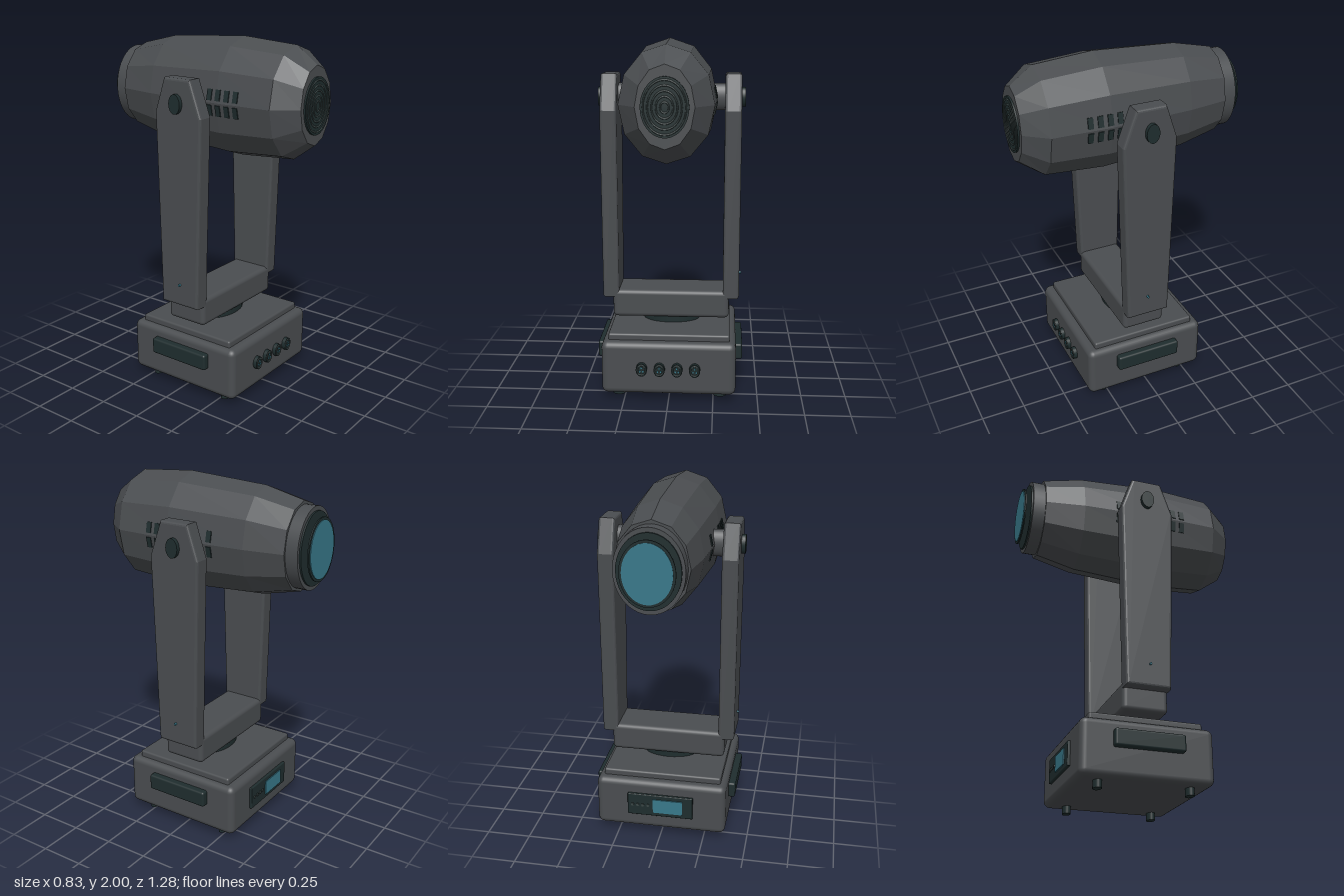
import * as THREE from 'three';
import { RoundedBoxGeometry } from 'three/addons/geometries/RoundedBoxGeometry.js';

const mat = (name, color) => {
  const m = new THREE.MeshStandardMaterial({ color });
  m.name = name;
  return m;
};

export function createModel() {
  const body = mat('charcoal body', 0x4a4d50);
  const dark = mat('dark trim', 0x1f2d2e);
  const grilleGrey = mat('grille grey', 0x3a4646);
  const glass = mat('teal glass', 0x38788a);

  const root = new THREE.Group();
  root.name = 'movingHeadLight';
  const group = (name) => {
    const g = new THREE.Group();
    g.name = name;
    root.add(g);
    return g;
  };
  const add = (parent, name, geo, material, x = 0, y = 0, z = 0) => {
    const m = new THREE.Mesh(geo, material);
    m.name = name;
    m.position.set(x, y, z);
    parent.add(m);
    return m;
  };
  const rbox = (w, h, d, r) => new RoundedBoxGeometry(w, h, d, 3, r);
  // oval cylinders along each axis
  const cylY = (rx, rz, h) => new THREE.CylinderGeometry(1, 1, h, 32).scale(rx, 1, rz);
  const cylZ = (rx, ry, d) => new THREE.CylinderGeometry(1, 1, d, 40).rotateX(Math.PI / 2).scale(rx, ry, 1);
  const cylX = (ry, rz, w) => new THREE.CylinderGeometry(1, 1, w, 32).rotateZ(Math.PI / 2).scale(1, ry, rz);

  const CZ = 0.018; // depth of the pan and tilt axes
  const CY = 1.674; // height of the tilt axis

  // base
  const base = group('base');
  add(base, 'baseBody', rbox(0.75, 0.303, 0.72, 0.035), body, 0, 0.1925, CZ);
  add(base, 'basePlate', rbox(0.68, 0.06, 0.62, 0.012), body, 0, 0.35, CZ);
  for (const x of [-0.288, 0.288]) {
    for (const z of [-0.227, 0.268]) add(base, 'foot', cylY(0.034, 0.023, 0.06), dark, x, 0.03, z);
  }
  for (const s of [-1, 1]) {
    add(base, 'sideHandle', rbox(0.06, 0.092, 0.38, 0.012), dark, s * 0.383, 0.24, CZ);
  }

  // front sockets with pins
  for (const x of [-0.148, -0.049, 0.049, 0.148]) {
    const socket = new THREE.Group();
    socket.name = 'socket';
    socket.position.set(x, 0.195, 0.378);
    base.add(socket);
    add(socket, 'socketBody', cylZ(0.031, 0.038, 0.036), dark, 0, 0, 0.004);
    add(socket, 'socketRing', new THREE.TorusGeometry(0.023, 0.004, 8, 24).scale(1, 1.25, 1), grilleGrey, 0, 0, 0.022);
    for (let i = 0; i < 3; i++) {
      const a = Math.PI / 2 + (i * Math.PI * 2) / 3;
      add(socket, 'socketPin', cylZ(0.004, 0.005, 0.006), glass, 0.01 * Math.cos(a), 0.013 * Math.sin(a), 0.023);
    }
  }

  // rear control panel
  add(base, 'controlPanel', rbox(0.38, 0.135, 0.03, 0.005), dark, 0, 0.2, -0.342);
  add(base, 'displayScreen', new THREE.BoxGeometry(0.17, 0.085, 0.008), glass, -0.045, 0.2, -0.359);
  for (const x of [0.07, 0.1, 0.13, 0.16]) {
    add(base, 'panelButton', cylZ(0.008, 0.009, 0.008), grilleGrey, x, 0.2, -0.359);
  }

  // yoke
  const yoke = group('yoke');
  add(yoke, 'panBearing', cylY(0.162, 0.105, 0.06), dark, 0, 0.397, CZ);
  add(yoke, 'yokeBridge', rbox(0.666, 0.16, 0.25, 0.025), body, 0, 0.495, CZ);
  const b = 0.014;
  const profile = [[0.143, 0.535], [0.175, 1.62], [0.108, 1.806], [-0.072, 1.806], [-0.131, 1.63], [-0.106, 0.535]];
  const mid = [CZ, 1.18];
  const armShape = new THREE.Shape(profile.map(([z, y]) =>
    new THREE.Vector2(-(z - b * Math.sign(z - mid[0])), y - b * Math.sign(y - mid[1]))));
  const armGeo = new THREE.ExtrudeGeometry(armShape, {
    depth: 0.092 - 2 * b, bevelEnabled: true, bevelThickness: b, bevelSize: b, bevelSegments: 3,
  });
  armGeo.translate(0, 0, -(0.092 - 2 * b) / 2).rotateY(Math.PI / 2);
  for (const s of [-1, 1]) {
    add(yoke, 'yokeArm', armGeo, body, s * 0.344, 0, 0);
    add(yoke, 'tiltAxle', cylX(0.075, 0.047, 0.12), body, s * 0.26, CY, CZ);
    add(yoke, 'tiltKnob', cylX(0.053, 0.037, 0.04), dark, s * 0.392, CY, CZ);
    add(yoke, 'armIndicator', cylX(0.007, 0.006, 0.02), glass, s * 0.393, 0.66, 0.025);
  }

  // faceted head shell: z, half width, half height
  const head = group('head');
  head.position.y = CY;
  const rings = [
    [0.625, 0.15, 0.21], [0.5, 0.247, 0.302], [0.17, 0.257, 0.326], [-0.3, 0.232, 0.297], [-0.525, 0.198, 0.243],
  ];
  const N = 12;
  const pos = [];
  const idx = [];
  rings.forEach(([z, rx, ry]) => {
    for (let i = 0; i < N; i++) {
      const a = (i / N) * Math.PI * 2;
      pos.push(rx * Math.cos(a), ry * Math.sin(a), z);
    }
  });
  for (let r = 0; r < rings.length - 1; r++) {
    for (let i = 0; i < N; i++) {
      const j = (i + 1) % N;
      const p = r * N + i, q = r * N + j;
      idx.push(p, p + N, q, q, p + N, q + N);
    }
  }
  const last = (rings.length - 1) * N;
  for (let i = 1; i < N - 1; i++) {
    idx.push(0, i, i + 1, last, last + i + 1, last + i);
  }
  const shell = new THREE.BufferGeometry();
  shell.setAttribute('position', new THREE.Float32BufferAttribute(pos, 3));
  shell.setIndex(idx);
  const flatShell = shell.toNonIndexed();
  flatShell.computeVertexNormals();
  add(head, 'headShell', flatShell, body);

  // round fan grille on the front
  add(head, 'fanGrille', cylZ(0.122, 0.152, 0.02), dark, 0, 0, 0.625);
  for (let i = 1; i <= 5; i++) {
    const r = i * 0.0215;
    add(head, 'grilleRing', new THREE.TorusGeometry(r, 0.004, 6, 40).scale(1, 1.26, 1), grilleGrey, 0, 0, 0.635);
  }

  // lens end
  add(head, 'lensBarrel', cylZ(0.184, 0.222, 0.08), body, 0, 0, -0.555);
  add(head, 'lensCollar', cylZ(0.166, 0.198, 0.02), dark, 0, 0, -0.595);
  add(head, 'lensRim', cylZ(0.143, 0.17, 0.008), dark, 0, 0, -0.632);
  add(head, 'lensGlass', cylZ(0.129, 0.156, 0.008), glass, 0, 0, -0.636);

  // cooling slots lying on the facets beside the tilt axis
  const halfWidth = (z) => {
    const k = z > 0.17 ? 1 : 2;
    const [z0, w0] = rings[k], [z1, w1] = rings[k + 1];
    return w0 + ((w1 - w0) * (z - z0)) / (z1 - z0);
  };
  for (const s of [-1, 1]) {
    for (const v of [-1, 1]) {
      for (const z of [0.29, 0.235, 0.18, 0.125, -0.095]) {
        const y = 0.041;
        const slot = add(head, 'coolingSlot', new THREE.BoxGeometry(0.01, 0.06, 0.03), dark,
          s * (halfWidth(z) - 0.21 * y), v * y, z);
        slot.rotation.z = s * v * 0.209;
      }
    }
  }
  return root;
}
